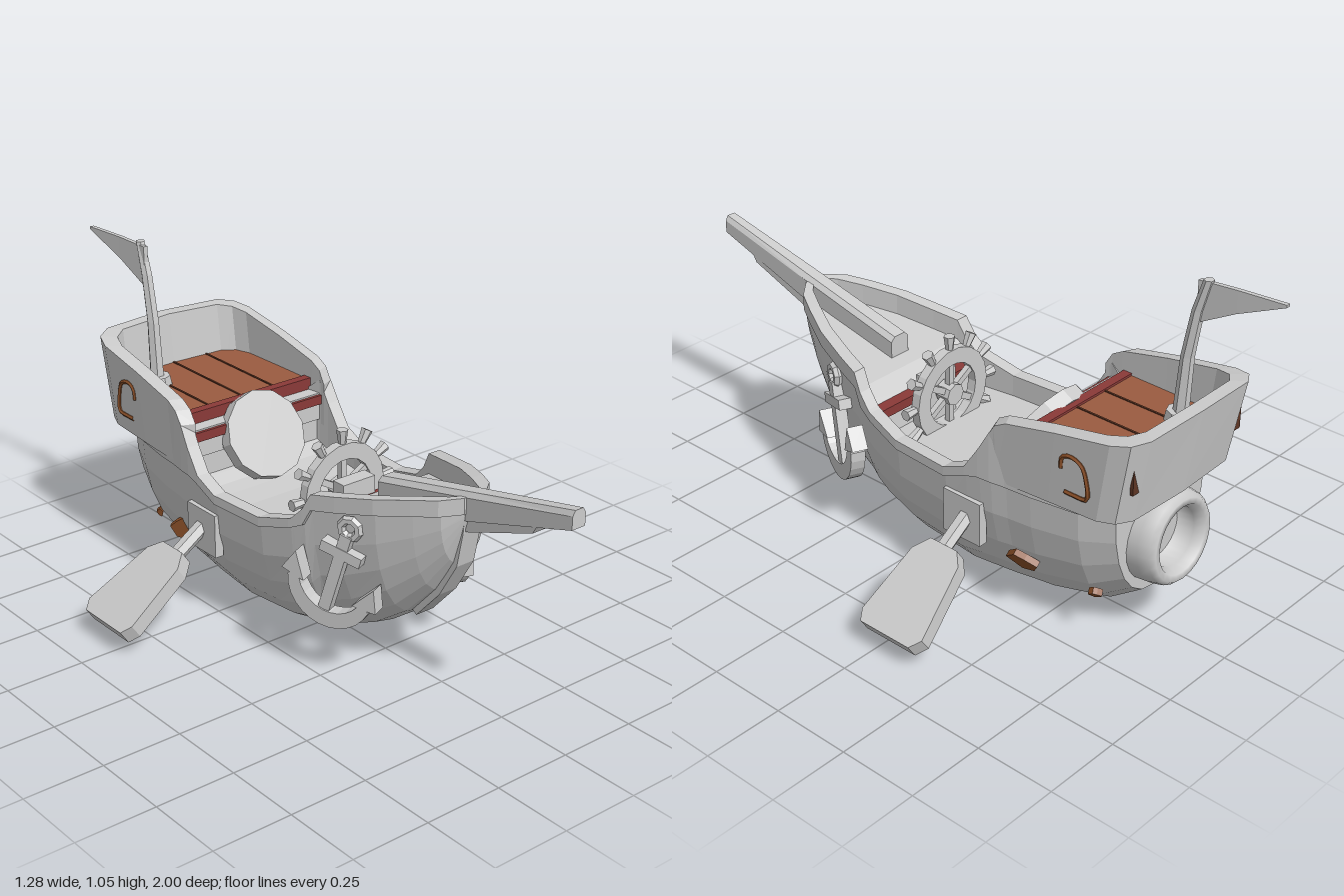
import * as THREE from 'three';

const mat = (color) => new THREE.MeshStandardMaterial({ color, flatShading: true, side: THREE.DoubleSide });
const GREY = mat(0xcccccc), WOOD = mat(0x9a5b40), DARK = mat(0x5e3524), RED = mat(0x8a3a38), PATCH = mat(0x8a4f28);
const V = (x, y, z) => new THREE.Vector3(x, y, z);

function add(parent, name, geo, material = GREY, pos = [0, 0, 0], rot = [0, 0, 0]) {
  const m = new THREE.Mesh(geo, material);
  m.name = name;
  m.position.set(...pos);
  m.rotation.set(...rot);
  parent.add(m);
  return m;
}
const box = (w, h, d) => new THREE.BoxGeometry(w, h, d);
const cyl = (r1, r2, h, n = 8) => new THREE.CylinderGeometry(r1, r2, h, n);
const shapeOf = (pts) => new THREE.Shape(pts.map(([x, y]) => new THREE.Vector2(x, y)));
const extrude = (pts, depth) => new THREE.ExtrudeGeometry(shapeOf(pts), { depth, bevelEnabled: false });
// outline given as (z, y), thickness centred across x
const sideExtrude = (pts, w) => extrude(pts, w).rotateY(-Math.PI / 2).translate(w / 2, 0, 0);
// outline given as (x, z), rising from y = 0
const planExtrude = (pts, h) => extrude(pts.map(([x, z]) => [x, -z]), h).rotateX(-Math.PI / 2);

// skin closed rings of equal length, cap both ends, make the winding face outward
function loft(rings) {
  const n = rings[0].length, p = rings.flat(), idx = [];
  for (let i = 0; i < rings.length - 1; i++) for (let j = 0; j < n; j++) {
    const a = i * n + j, b = i * n + (j + 1) % n;
    idx.push(a, b, b + n, a, b + n, a + n);
  }
  [0, rings.length - 1].forEach((r) => {
    const c = p.length;
    p.push(rings[r].reduce((s, v) => s.add(v), V(0, 0, 0)).divideScalar(n));
    for (let j = 0; j < n; j++) {
      const a = r * n + j, b = r * n + (j + 1) % n;
      idx.push(...(r ? [c, a, b] : [c, b, a]));
    }
  });
  let vol = 0;
  for (let i = 0; i < idx.length; i += 3) vol += p[idx[i]].dot(p[idx[i + 1]].clone().cross(p[idx[i + 2]]));
  if (vol < 0) idx.reverse();
  const g = new THREE.BufferGeometry().setFromPoints(p);
  g.setIndex(idx);
  g.computeVertexNormals();
  return g;
}

// hull stations: z, keel height, rim height, half width, inner floor height
const STATIONS = [
  [0.615, 0.56, 0.645, 0.03, 0.59], [0.57, 0.42, 0.637, 0.085, 0.575], [0.5, 0.31, 0.625, 0.125, 0.56],
  [0.4, 0.2, 0.605, 0.175, 0.54], [0.28, 0.115, 0.58, 0.213, 0.515], [0.2, 0.078, 0.565, 0.235, 0.5],
  [0.17, 0.068, 0.51, 0.242, 0.47], [0.13, 0.05, 0.47, 0.25, 0.44], [0.12, 0.046, 0.465, 0.252, 0.36],
  [0, 0.018, 0.43, 0.27, 0.36], [-0.2, 0.003, 0.43, 0.283, 0.36], [-0.28, 0.008, 0.465, 0.284, 0.37],
  [-0.33, 0.012, 0.54, 0.283, 0.38], [-0.37, 0.016, 0.61, 0.28, 0.4], [-0.42, 0.022, 0.57, 0.272, 0.42],
  [-0.5, 0.032, 0.57, 0.265, 0.5], [-0.65, 0.07, 0.57, 0.24, 0.56], [-0.75, 0.14, 0.57, 0.2, 0.57],
];

function hullRing([z, yb, yt, w, floor]) {
  const ys = z > 0.15 ? yt - 0.05 : Math.min(yt - 0.03, 0.45);
  const half = [];
  for (let i = 1; i <= 6; i++) {
    const t = (i / 6) * Math.PI / 2;
    half.push([w * Math.sin(t) ** 0.85, yb + (ys - yb) * (1 - Math.cos(t))]);
  }
  const inner = Math.max(w - 0.032, 0.006);
  half.push([w + 0.01, ys], [w + 0.01, yt], [inner, yt], [inner, floor]);
  return [V(0, yb, z), ...half.map(([x, y]) => V(x, y, z)), V(0, floor, z),
    ...half.reverse().map(([x, y]) => V(-x, y, z))];
}

// plan of the stern cabin: x, z and wall top height
const CABIN = [[0.29, -0.365, 0.6], [0.291, -0.39, 0.64], [0.29, -0.43, 0.662], [0.287, -0.6, 0.7],
  [0.282, -0.78, 0.732], [0.262, -0.835, 0.742], [0.215, -0.865, 0.75], [0, -0.875, 0.757]];
const mirrorPlan = (h) => [...h, ...h.slice(0, -1).reverse().map(([x, ...r]) => [-x, ...r])];

function buildCabin(g) {
  const plan = mirrorPlan(CABIN);
  const inset = ([x, z], d) => [x * (1 - d / 0.29), Math.max(z, z * (1 - d / 0.87))];
  add(g, 'cabinWall', loft(plan.map(([x, z, top]) => {
    const [ix, iz] = inset([x, z], 0.042);
    const bz = z + 0.05 * Math.max(0, (-z - 0.36) / 0.51), by = 0.46 + 0.02 * (-z - 0.36) / 0.5;
    return [V(x * 0.97, by, bz), V(x, top, z), V(ix, top, iz), V(ix, by, iz + 0.03 * (z < -0.7))];
  })));
  const floorPlan = plan.map(([x, z]) => [x * 0.92, -0.37 + (z + 0.365) * 0.87]);
  add(g, 'cabinUnderside', planExtrude(floorPlan, 0.09), GREY, [0, 0.475, 0]);
  add(g, 'cabinDeck', planExtrude(plan.map(([x, z]) => [x * 0.88, -0.42 + (z + 0.365) * 0.81]), 0.03), WOOD, [0, 0.565, 0]);
  for (const x of [-0.125, 0, 0.125]) add(g, 'plankSeam', box(0.006, 0.004, 0.39), DARK, [x, 0.596, -0.62]);
  add(g, 'deckEdge', box(0.5, 0.045, 0.03), RED, [0, 0.58, -0.43]);
  add(g, 'deckStep', box(0.5, 0.03, 0.03), RED, [0, 0.545, -0.375]);
  add(g, 'bulkhead', box(0.51, 0.26, 0.03), GREY, [0, 0.43, -0.395]);
  add(g, 'brokenPanel', extrude([[-0.24, 0.58], [-0.24, 0.65], [-0.17, 0.6], [-0.12, 0.69], [0, 0.655],
    [0.17, 0.7], [0.15, 0.62], [0.24, 0.67], [0.24, 0.58]], 0.01), DARK, [0, 0, -0.832]);
  add(g, 'hatchDisc', cyl(0.14, 0.14, 0.045, 12), GREY, [0, 0.5, -0.34], [1.05, 0, 0]);
}

function buildWheel(g) {
  const wheel = new THREE.Group();
  wheel.name = 'steeringWheel';
  wheel.position.set(0, 0.455, 0.045);
  g.add(wheel);
  const ring = new THREE.Shape().absarc(0, 0, 0.15, 0, Math.PI * 2);
  ring.holes.push(new THREE.Path().absarc(0, 0, 0.1, 0, Math.PI * 2, true));
  add(wheel, 'wheelRim', new THREE.ExtrudeGeometry(ring, { depth: 0.03, bevelEnabled: false, curveSegments: 9 }), GREY, [0, 0, -0.015]);
  for (let i = 0; i < 12; i++) {
    const a = (i / 12) * Math.PI * 2, at = (r) => [r * Math.cos(a), r * Math.sin(a), 0];
    add(wheel, 'wheelHandle', cyl(0.018, 0.012, 0.045, 6), GREY, at(0.168), [0, 0, a - Math.PI / 2]);
    if (i % 2) add(wheel, 'wheelSpoke', box(0.02, 0.09, 0.018), GREY, at(0.06), [0, 0, a - Math.PI / 2]);
  }
  add(wheel, 'wheelHub', cyl(0.035, 0.035, 0.05), GREY, [0, 0, 0], [Math.PI / 2, 0, 0]);
  add(g, 'wheelStand', box(0.12, 0.16, 0.05), GREY, [0, 0.43, 0.1]);
  add(g, 'foredeckEdge', box(0.44, 0.03, 0.045), RED, [0, 0.44, 0.135]);
}

function buildAnchor(g) {
  const a = new THREE.Group();
  a.name = 'anchor';
  a.position.set(0.222, 0.335, 0.285);
  a.rotation.set(0, 1.15, 0.28);
  g.add(a);
  add(a, 'anchorRing', new THREE.TorusGeometry(0.028, 0.014, 6, 8), GREY, [0, 0.165, 0]);
  add(a, 'anchorShank', box(0.036, 0.29, 0.036), GREY, [0, 0, 0]);
  add(a, 'anchorBar', box(0.13, 0.032, 0.04), GREY, [0, 0.085, 0]);
  const arms = new THREE.Shape().absarc(0, 0, 0.135, Math.PI * 1.06, Math.PI * 1.94);
  arms.absarc(0, 0.02, 0.105, Math.PI * 1.94, Math.PI * 1.06, true);
  add(a, 'anchorArms', new THREE.ExtrudeGeometry(arms, { depth: 0.045, bevelEnabled: false, curveSegments: 6 }), GREY, [0, -0.025, -0.022]);
  for (const s of [1, -1]) add(a, 'anchorFluke', extrude([[0.08 * s, -0.05], [0.155 * s, -0.04], [0.128 * s, 0.03]], 0.05), GREY, [0, 0, -0.025]);
}

function buildOar(g) {
  add(g, 'oarPort', box(0.03, 0.14, 0.14), GREY, [0.277, 0.29, -0.27]);
  const oar = new THREE.Group();
  oar.name = 'oar';
  oar.position.set(0.265, 0.305, -0.28);
  oar.rotation.z = -0.59;
  g.add(oar);
  add(oar, 'oarShaft', cyl(0.024, 0.024, 0.2, 6), GREY, [0.09, 0, 0], [0, 0, Math.PI / 2]);
  const outline = [[0.13, 0.04], [0.18, 0.075], [0.4, 0.095], [0.435, 0.075], [0.435, -0.11], [0.4, -0.135], [0.17, -0.095], [0.13, -0.06]];
  add(oar, 'oarBlade', planExtrude(outline, 0.05), GREY, [0, -0.025, 0]);
}

// brown patches of bare wood and the arched window trim on one side
function buildSideTrim(g) {
  const patch = (r, pos, normal) => {
    const pts = [[-1, 0.1], [-0.2, -0.8], [0.6, -0.6], [1, 0.1], [0.3, 0.5], [-0.3, 0.75]].map(([x, y]) => [x * r, y * r]);
    const m = add(g, 'woodPatch', extrude(pts, 0.02), PATCH, pos);
    m.lookAt(V(...pos).add(V(...normal)));
  };
  patch(0.052, [0.232, 0.212, -0.46], [0.8, -0.5, -0.12]);
  patch(0.02, [0.17, 0.17, -0.67], [0.65, -0.6, -0.35]);
  const arch = [[-0.62, 0.6], [-0.625, 0.635], [-0.65, 0.648], [-0.69, 0.635], [-0.708, 0.59], [-0.71, 0.535], [-0.67, 0.53], [-0.635, 0.53]];
  const curve = new THREE.CatmullRomCurve3(arch.map(([z, y]) => V(0.283 + (y - 0.64) * 0.03, y, z)));
  add(g, 'windowTrim', new THREE.TubeGeometry(curve, 20, 0.007, 5), PATCH);
}

export function createModel() {
  const ship = new THREE.Group();
  ship.name = 'ship';
  add(ship, 'hull', loft(STATIONS.map(hullRing)));
  buildCabin(ship);
  buildWheel(ship);

  // bowsprit, its bracket and the stem post
  add(ship, 'bowsprit', loft([[0.25, 0.5, 0.577, 0.036], [0.62, 0.575, 0.66, 0.033], [1, 0.69, 0.745, 0.024]].map(([z, b, t, w]) =>
    [V(-w, b, z), V(w, b, z), V(w, t - 0.015, z), V(w * 0.6, t, z), V(-w * 0.6, t, z), V(-w, t - 0.015, z)])));
  add(ship, 'bowspritBracket', sideExtrude([[0.58, 0.525], [0.86, 0.628], [0.88, 0.66], [0.56, 0.6]], 0.05));
  add(ship, 'stemPost', sideExtrude([[0.61, 0.6], [0.605, 0.53], [0.583, 0.42], [0.515, 0.305], [0.42, 0.2],
    [0.38, 0.23], [0.48, 0.34], [0.54, 0.6]], 0.065));

  // paired parts
  for (const s of [1, -1]) {
    const side = new THREE.Group();
    side.name = s > 0 ? 'leftSide' : 'rightSide';
    side.scale.x = s;
    buildAnchor(side);
    buildOar(side);
    buildSideTrim(side);
    ship.add(side);
  }

  // round nozzle at the stern
  const nozzle = [[0.15, -0.05], [0.145, 0.05], [0.138, 0.085], [0.125, 0.1], [0.105, 0.098], [0.09, 0.07], [0.085, 0.01], [0, 0]];
  const smooth = new THREE.MeshStandardMaterial({ color: 0xcccccc, side: THREE.DoubleSide });
  add(ship, 'sternNozzle', new THREE.LatheGeometry(nozzle.map(([r, y]) => new THREE.Vector2(r, y)), 24), smooth, [0, 0.318, -0.735], [-Math.PI / 2 + 0.06, 0, 0]);

  // flag on its leaning mast
  const mast = [[0.59, -0.695, 0.024], [0.8, -0.708, 0.02], [0.95, -0.733, 0.018], [1.05, -0.762, 0.015]];
  add(ship, 'mast', loft(mast.map(([y, z, r]) => Array.from({ length: 6 }, (_, i) =>
    V(-0.145 + r * Math.cos(i * Math.PI / 3), y, z + r * Math.sin(i * Math.PI / 3))))));
  add(ship, 'mastCollar', cyl(0.04, 0.046, 0.03), GREY, [-0.145, 0.61, -0.695]);
  add(ship, 'flag', loft([[-0.73, 0.91, 1.04, -0.148], [-0.85, 0.975, 1.045, -0.158], [-0.995, 1.038, 1.046, -0.172]].map(([z, b, t, x]) =>
    [V(x - 0.007, b, z), V(x + 0.007, b, z), V(x + 0.007, t, z), V(x - 0.007, t, z)])));
  return ship;
}
